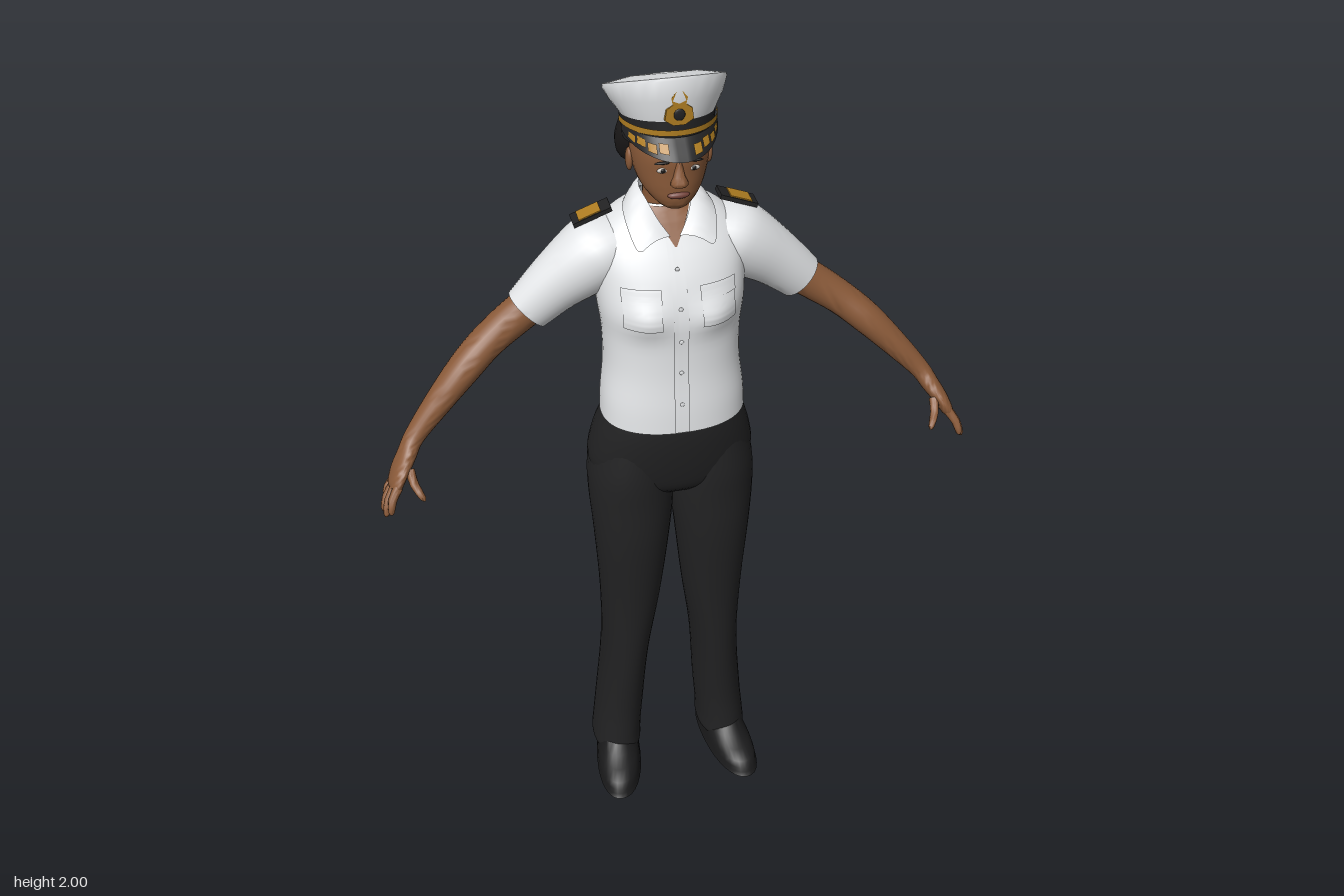
import * as THREE from 'three';
import { toCreasedNormals } from 'three/addons/utils/BufferGeometryUtils.js';

const mat = (name, color, side = THREE.DoubleSide) =>
  Object.assign(new THREE.MeshStandardMaterial({ color, side }), { name });
const V = (x, y, z) => new THREE.Vector3(x, y, z);
const spow = (c, e) => Math.sign(c) * Math.abs(c) ** e;

// Surface over a grid of points fn(u, v), u and v from 0 to 1
function grid(nu, nv, fn, crease = 0.9) {
  const pos = [], idx = [];
  for (let j = 0; j <= nv; j++)
    for (let i = 0; i <= nu; i++) pos.push(...fn(i / nu, j / nv).toArray());
  for (let j = 0; j < nv; j++)
    for (let i = 0; i < nu; i++) {
      const a = j * (nu + 1) + i, b = a + nu + 1;
      idx.push(a, b, a + 1, a + 1, b, b + 1);
    }
  const g = new THREE.BufferGeometry();
  g.setAttribute('position', new THREE.Float32BufferAttribute(pos, 3));
  g.setIndex(idx);
  return toCreasedNormals(g, crease);
}

// Smooth interpolation between table rows
function rowAt(rows, t) {
  const n = rows.length - 1;
  t = Math.min(Math.max(t, 0), n);
  const i = Math.min(Math.floor(t), n - 1), f = t - i;
  const [p, a, b, q] = [rows[Math.max(i - 1, 0)], rows[i], rows[i + 1], rows[Math.min(i + 2, n)]];
  return a.map((_, k) => a[k] + 0.5 * f * (b[k] - p[k] +
    f * (2 * p[k] - 5 * a[k] + 4 * b[k] - q[k] + f * (3 * (a[k] - b[k]) + q[k] - p[k]))));
}

// Loft through rows [x, y, z, r1, r2, tilt]: level rings, or rings across the path
function loft(rows, { n = 32, sub = 4, e = 1, path = false, warp = null } = {}) {
  const steps = (rows.length - 1) * sub;
  return grid(n, steps, (u, v) => {
    const t = v * (rows.length - 1), r = rowAt(rows, t), an = u * Math.PI * 2;
    let a = V(1, 0, 0), b = V(0, Math.sin(r[5] || 0), Math.cos(r[5] || 0));
    if (path) {
      const d = V(...rowAt(rows, t + 0.4)).sub(V(...rowAt(rows, t - 0.4))).normalize();
      a = V(0, 0, 1).addScaledVector(d, -d.z).normalize();
      b = a.clone().cross(d);
    }
    const p = V(r[0], r[1], r[2])
      .addScaledVector(a, r[3] * spow(Math.cos(an), e))
      .addScaledVector(b, r[4] * spow(Math.sin(an), e));
    if (warp) warp(p);
    return p;
  });
}
const mirror = (rows, s) => rows.map(([x, ...rest]) => [x * s, ...rest]);

const SHIRT_E = 0.88;
const shirtRows = [
  [0, 1.163, 0.026, 0.168, 0.126], [0, 1.22, 0.024, 0.165, 0.123], [0, 1.3, 0.017, 0.156, 0.12],
  [0, 1.38, 0.012, 0.157, 0.121], [0, 1.45, 0.007, 0.165, 0.126], [0, 1.52, -0.009, 0.17, 0.121],
  [0, 1.57, -0.024, 0.171, 0.109], [0, 1.61, -0.036, 0.155, 0.092], [0, 1.645, -0.042, 0.115, 0.072],
  [0, 1.672, -0.045, 0.06, 0.052],
];
const bust = (x, y) => 0.016 * Math.exp(-(((Math.abs(x) - 0.08) / 0.05) ** 2) - ((y - 1.455) / 0.04) ** 2);

// Front of the shirt at (x, y)
function shirtZ(x, y) {
  let i = shirtRows.findIndex(r => r[1] >= y);
  i = Math.max(i < 0 ? shirtRows.length - 1 : i, 1);
  const a = shirtRows[i - 1][1], b = shirtRows[i][1];
  const r = rowAt(shirtRows, i - 1 + (y - a) / (b - a));
  const k = Math.min(Math.abs(x / r[3]), 1) ** (2 / SHIRT_E);
  return r[2] + r[4] * (1 - k) ** (SHIRT_E / 2) + bust(x, y);
}
const patch = (x0, x1, y0, y1, off, taper = 1) => grid(8, 14, (u, v) => {
  const w = taper + (1 - taper) * v, mid = (x0 + x1) / 2;
  const x = mid + ((1 - u) * x1 + u * x0 - mid) * w, y = y0 + (y1 - y0) * v;
  return V(x, y, shirtZ(x, y) + off);
});

export function createModel() {
  const root = new THREE.Group();
  root.name = 'officer';
  const white = mat('white cloth', 0xe6e8ea), black = mat('black cloth', 0x222223);
  const gold = mat('gold braid', 0xb07e22), skin = mat('skin', 0x8a5a39);
  const hair = mat('hair', 0x1c1a1a), lip = mat('lips', 0x74433a);
  const eyeWhite = mat('eye white', 0xcfc8c0), shoeMat = mat('shoe leather', 0x1a1a1b);
  const add = (name, geo, m, parent = root) => {
    const mesh = new THREE.Mesh(geo, m);
    mesh.name = name;
    parent.add(mesh);
    return mesh;
  };
  const blob = (name, m, p, s) => {
    const mesh = add(name, new THREE.SphereGeometry(1, 16, 12), m);
    mesh.position.set(...p);
    mesh.scale.set(...s);
  };

  // Shirt body, placket, buttons and open neck
  add('shirt', loft(shirtRows, { n: 56, e: SHIRT_E, warp: p => { if (p.z > 0) p.z += bust(p.x, p.y); } }), white);
  add('placket', patch(-0.02, 0.014, 1.166, 1.615, 0.003), white);
  for (let i = 0; i < 5; i++) {
    const y = 1.24 + i * 0.08;
    blob('button', white, [-0.003, y, shirtZ(0, y) + 0.004], [0.005, 0.005, 0.002]);
  }
  add('openNeck', patch(-0.045, 0.045, 1.6, 1.67, 0.006, 0.05), skin);

  // Trouser seat
  add('trouserSeat', loft([[0, 0.92, 0.01, 0.09, 0.05], [0, 0.965, 0.005, 0.17, 0.105],
    [0, 1.02, 0.003, 0.197, 0.126], [0, 1.1, 0.011, 0.184, 0.131], [0, 1.16, 0.022, 0.163, 0.122],
    [0, 1.19, 0.022, 0.155, 0.114]], { n: 48, e: 0.9 }), black);

  for (const s of [1, -1]) {
    const side = s > 0 ? 'left' : 'right';
    // Legs and shoes
    add(side + 'TrouserLeg', loft(mirror([
      [0.145, 0.045, -0.018, 0.05, 0.085], [0.145, 0.046, -0.018, 0.063, 0.096],
      [0.142, 0.1, -0.018, 0.062, 0.093], [0.133, 0.2, -0.018, 0.061, 0.092],
      [0.118, 0.4, -0.005, 0.06, 0.096], [0.105, 0.6, 0.015, 0.075, 0.091],
      [0.1, 0.8, 0.024, 0.092, 0.1], [0.098, 0.92, 0.015, 0.102, 0.111],
      [0.098, 1.0, 0.005, 0.1, 0.122], [0.09, 1.08, 0.005, 0.09, 0.115]], s), { n: 36, e: 0.95 }), black);
    add(side + 'Shoe', loft(mirror([
      [0.145, 0, 0.042, 0.001, 0.002], [0.145, 0.001, 0.042, 0.055, 0.143], [0.145, 0.016, 0.042, 0.058, 0.147],
      [0.145, 0.04, 0.034, 0.055, 0.138], [0.143, 0.065, 0.0, 0.05, 0.1], [0.143, 0.1, -0.018, 0.045, 0.075]], s),
      { sub: 2, e: 0.9, warp: p => { p.x += s * p.z * 0.13; } }), shoeMat);

    // Sleeve, arm and hand
    add(side + 'Sleeve', loft(mirror([
      [0.08, 1.585, -0.04, 0.07, 0.05], [0.14, 1.56, -0.037, 0.088, 0.08], [0.18, 1.535, -0.035, 0.083, 0.081],
      [0.25, 1.483, -0.035, 0.064, 0.067], [0.315, 1.424, -0.035, 0.049, 0.056]], s), { path: true }), white);
    add(side + 'Arm', loft(mirror([
      [0.27, 1.462, -0.035, 0.042, 0.043], [0.34, 1.412, -0.033, 0.041, 0.043], [0.41, 1.362, -0.02, 0.042, 0.039],
      [0.47, 1.313, 0.005, 0.041, 0.037], [0.54, 1.243, 0.03, 0.034, 0.03], [0.596, 1.182, 0.052, 0.026, 0.023],
      [0.618, 1.15, 0.07, 0.033, 0.021], [0.64, 1.118, 0.09, 0.043, 0.018], [0.655, 1.09, 0.103, 0.041, 0.014],
      [0.66, 1.08, 0.106, 0.02, 0.005]], s), { n: 24, path: true }), skin);
    const fingers = [ // base, then tip
      [0.652, 1.088, 0.07, 0.677, 1.054, 0.09], [0.656, 1.087, 0.092, 0.685, 1.038, 0.115],
      [0.655, 1.094, 0.114, 0.681, 1.041, 0.141], [0.648, 1.103, 0.13, 0.67, 1.056, 0.157],
      [0.617, 1.13, 0.108, 0.597, 1.086, 0.16]];
    fingers.forEach(([x, y, z, X, Y, Z], i) => add(side + (i < 4 ? 'Finger' : 'Thumb'), loft(mirror([
      [x, y, z, 0.011, 0.011], [(x + X) / 2 + 0.005, (y + Y) / 2, (z + Z) / 2, 0.0105, 0.01],
      [X, Y, Z, 0.007, 0.007], [X, Y - 0.006, Z + 0.002, 0.001, 0.001]], s), { n: 10, sub: 2, path: true }), skin));

    // Shoulder board
    const board = new THREE.Group();
    board.name = side + 'ShoulderBoard';
    add('boardBase', new THREE.BoxGeometry(0.09, 0.01, 0.046), black, board);
    add('boardBraid', new THREE.BoxGeometry(0.052, 0.005, 0.04), gold, board).position.set(s * 0.004, 0.005, 0);
    board.position.set(s * 0.163, 1.641, -0.045);
    board.rotation.z = -s * 0.36;
    root.add(board);

    // Collar half: inner edge at the neck, outer edge over the shoulder
    const collar = [
      [0, 1.705, -0.093, 0, 1.665, -0.108], [0.04, 1.705, -0.08, 0.058, 1.662, -0.094],
      [0.058, 1.7, -0.042, 0.092, 1.662, -0.045], [0.05, 1.685, 0.0, 0.1, 1.648, 0.015],
      [0.032, 1.652, 0.036, 0.088, 1.607, 0.07], [0.01, 1.622, 0.06, 0.074, 1.604, 0.078]];
    add(side + 'Collar', grid(4, 20, (u, v) => {
      const r = rowAt(collar, v * 5), k = s > 0 ? u : 1 - u;
      return V(r[0], r[1], r[2]).lerp(V(r[3], r[4], r[5]), k)
        .add(V(0, 0.008 * Math.sin(k * Math.PI), 0)).multiply(V(s, 1, 1));
    }), white);

    // Chest pocket and flap
    const [a, b] = s > 0 ? [0.045, 0.125] : [-0.125, -0.045];
    add(side + 'Pocket', patch(a, b, 1.435, 1.52, 0.003), white);
    add(side + 'PocketFlap', patch(a - 0.002, b + 0.002, 1.495, 1.525, 0.006), white);

    // Ear, eye and brow
    blob(side + 'Ear', skin, [s * 0.086, 1.785, 0], [0.008, 0.026, 0.016]);
    blob(side + 'Eye', eyeWhite, [s * 0.033, 1.796, 0.088], [0.013, 0.006, 0.004]);
    blob(side + 'Pupil', hair, [s * 0.033, 1.796, 0.0905], [0.005, 0.005, 0.003]);
    blob(side + 'Brow', hair, [s * 0.034, 1.814, 0.091], [0.018, 0.003, 0.004]);
  }

  // Head
  add('neck', loft([[0, 1.6, -0.04, 0.056, 0.052], [0, 1.67, -0.04, 0.05, 0.047], [0, 1.77, -0.025, 0.05, 0.05]]), skin);
  add('head', loft([[0, 1.693, 0.055, 0.004, 0.004], [0, 1.699, 0.052, 0.026, 0.028], [0, 1.713, 0.038, 0.045, 0.052],
    [0, 1.74, 0.018, 0.067, 0.076], [0, 1.78, 0.004, 0.081, 0.091], [0, 1.82, 0, 0.085, 0.096],
    [0, 1.87, -0.005, 0.083, 0.09]]), skin);
  add('nose', loft([[0, 1.757, 0.094, 0.008, 0.004], [0, 1.766, 0.098, 0.019, 0.017], [0, 1.785, 0.095, 0.012, 0.014],
    [0, 1.815, 0.088, 0.007, 0.01]], { n: 16 }), skin);
  blob('lips', lip, [0, 1.737, 0.091], [0.024, 0.008, 0.009]);
  add('hair', loft([[0, 1.722, -0.105, 0.004, 0.004], [0, 1.727, -0.1, 0.05, 0.032], [0, 1.757, -0.077, 0.092, 0.062],
    [0, 1.8, -0.061, 0.104, 0.08], [0, 1.84, -0.045, 0.1, 0.085], [0, 1.87, -0.035, 0.09, 0.08]]), hair);

  // Cap
  add('capCrown', loft([[0, 1.882, -0.02, 0.1, 0.112, 0.2], [0, 1.908, -0.034, 0.119, 0.138, 0.32],
    [0, 1.93, -0.046, 0.13, 0.156, 0.43], [0, 1.937, -0.047, 0.128, 0.154, 0.43],
    [0, 1.948, -0.046, 0.07, 0.085, 0.43], [0, 1.95, -0.046, 0.001, 0.001, 0.43]], { n: 48, sub: 1 }), white);
  add('capBand', loft([[0, 1.832, -0.012, 0.097, 0.108, 0.12], [0, 1.889, -0.022, 0.101, 0.113, 0.2]],
    { n: 48, sub: 1 }), black);

  // Visor, with leaf braid and strap
  const visor = (a, w, lift) => {
    const c = Math.cos(a), q = Math.sin(a);
    return V(c * (0.1 + 0.004 * w), 1.872 - 0.036 * w * q ** 0.5 + lift, -0.014 + 0.112 * q + 0.042 * w * q * q + lift * 0.5);
  };
  const visorPart = (a0, a1, w0, w1, lift, n) =>
    grid(n, 3, (u, v) => visor(a0 + (a1 - a0) * u, w1 + (w0 - w1) * v, lift));
  add('visor', visorPart(0.15, Math.PI - 0.15, 0, 1, 0, 32), black);
  for (let i = 0; i < 10; i++) {
    const a = 0.42 + i * 0.235;
    if (i !== 4 && i !== 5) add('visorLeaf', visorPart(a, a + 0.19, 0.3 + 0.1 * (i % 2), 0.75 + 0.1 * (i % 2), 0.003, 5), gold);
  }
  add('capStrap', grid(40, 1, (u, v) => {
    const a = 0.05 + u * (Math.PI - 0.1);
    return V(0.104 * Math.cos(a), 1.869 + 0.013 * v + 0.006 * Math.sin(a), -0.017 + 0.115 * Math.sin(a));
  }), gold);

  // Cap emblem: plain wreath outline with a dark centre
  const half = [[0.012, 0], [0.03, 0.012], [0.027, 0.035], [0.014, 0.045], [0.017, 0.06], [0.006, 0.074]];
  const shape = new THREE.Shape([...half, ...half.map(([x, y]) => [-x, y]).reverse()].map(p => new THREE.Vector2(...p)));
  add('capEmblem', new THREE.ExtrudeGeometry(shape, { depth: 0.012, bevelEnabled: false }), gold).position.set(0, 1.898, 0.084);
  blob('emblemCentre', black, [0, 1.921, 0.096], [0.012, 0.013, 0.003]);

  return root;
}
